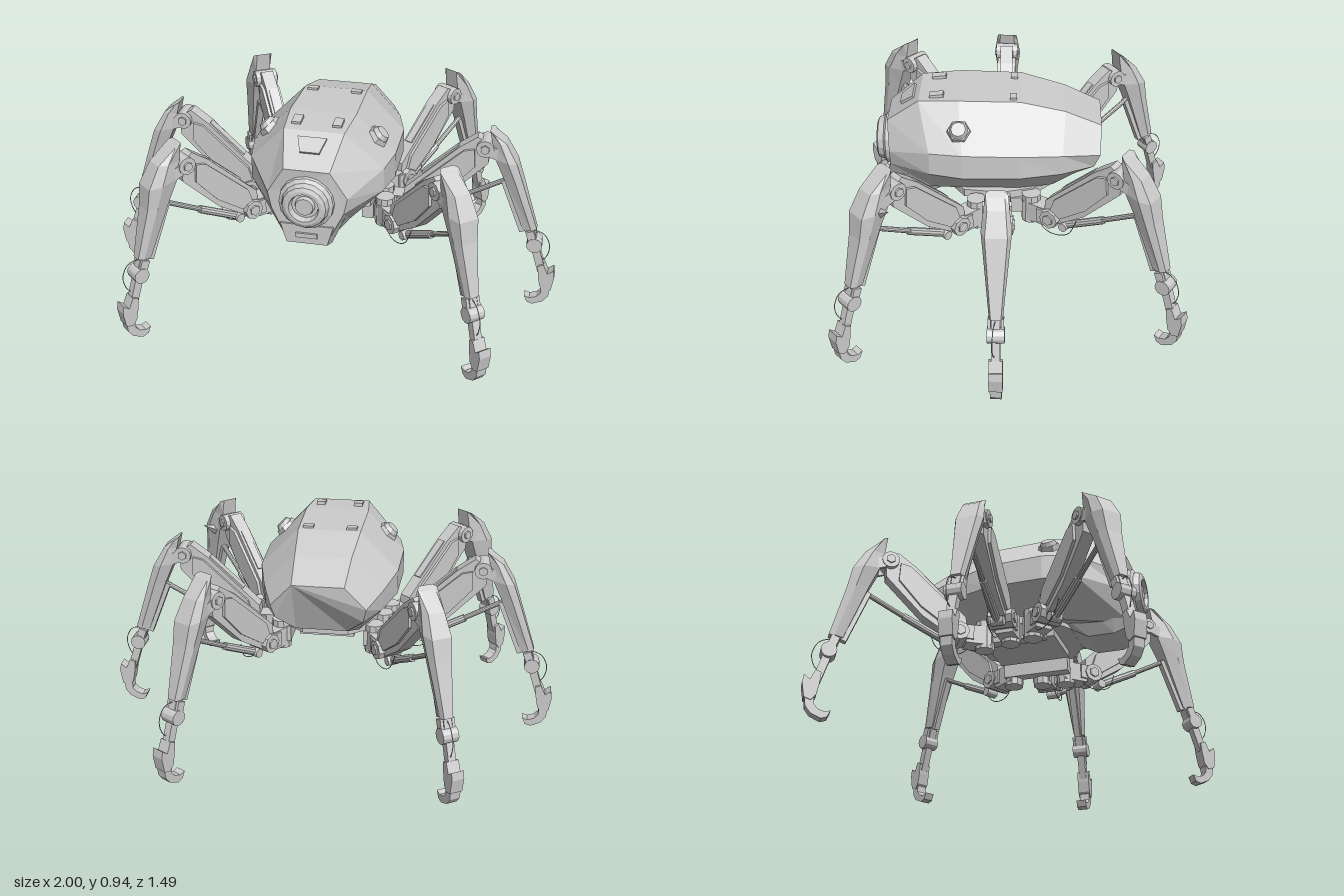
import * as THREE from 'three';

const armour = new THREE.MeshStandardMaterial({ color: 0xcccccc });
armour.name = 'greyArmour';

// Faceted mesh with one normal per face
function add(parent, name, geometry, x = 0, y = 0, z = 0) {
  const g = geometry.index ? geometry.toNonIndexed() : geometry;
  g.computeVertexNormals();
  const mesh = new THREE.Mesh(g, armour);
  mesh.name = name;
  mesh.position.set(x, y, z);
  parent.add(mesh);
  return mesh;
}

// Closed skin through rings of equal point count, wound to face outward
function loft(rings) {
  const n = rings[0].length;
  const pos = rings.flat(2);
  const idx = [];
  for (let i = 0; i < rings.length - 1; i++) {
    for (let j = 0; j < n; j++) {
      const a = i * n + j, b = i * n + (j + 1) % n;
      idx.push(a, b, b + n, a, b + n, a + n);
    }
  }
  const last = (rings.length - 1) * n;
  for (let j = 1; j < n - 1; j++) idx.push(0, j + 1, j, last, last + j, last + j + 1);
  const point = i => new THREE.Vector3().fromArray(pos, i * 3);
  let volume = 0;
  for (let i = 0; i < idx.length; i += 3) {
    volume += point(idx[i]).dot(point(idx[i + 1]).cross(point(idx[i + 2])));
  }
  if (volume < 0) idx.reverse();
  const g = new THREE.BufferGeometry();
  g.setAttribute('position', new THREE.Float32BufferAttribute(pos, 3));
  g.setIndex(idx);
  return g;
}

// Side profile extruded symmetrically about z = 0
function plate(points, width) {
  const shape = new THREE.Shape(points.map(p => new THREE.Vector2(...p)));
  return new THREE.ExtrudeGeometry(shape, { depth: width, bevelEnabled: false }).translate(0, 0, -width / 2);
}

// Box running between two points of the x-y plane
function beam(parent, name, [x1, y1], [x2, y2], thick, width, z = 0) {
  const m = add(parent, name, new THREE.BoxGeometry(Math.hypot(x2 - x1, y2 - y1), thick, width),
    (x1 + x2) / 2, (y1 + y2) / 2, z);
  m.rotation.z = Math.atan2(y2 - y1, x2 - x1);
}

// Round rod between two points of the x-y plane
function rod(parent, name, [x1, y1], [x2, y2], radius) {
  const m = add(parent, name, new THREE.CylinderGeometry(radius, radius, Math.hypot(x2 - x1, y2 - y1), 10),
    (x1 + x2) / 2, (y1 + y2) / 2, 0);
  m.rotation.z = Math.atan2(y2 - y1, x2 - x1) - Math.PI / 2;
}

// Pivot pin with its axis across the leg
function pivot(parent, name, x, y, radius, width, sides = 12) {
  add(parent, name, new THREE.CylinderGeometry(radius, radius, width, sides).rotateX(Math.PI / 2), x, y, 0);
}

function cable(parent, name, points) {
  const curve = new THREE.CatmullRomCurve3(points.map(p => new THREE.Vector3(...p)));
  add(parent, name, new THREE.TubeGeometry(curve, 14, 0.002, 5));
}

// Leg in its own frame: x points outward, y up, the hip pivot at x = 0.
// bulge pushes the shin's outer face outward, peak is the height of its top
function makeLeg(name, bulge, peak) {
  const leg = new THREE.Group();
  leg.name = name;

  // Hip bracket and pivots
  add(leg, 'hipBlock', new THREE.BoxGeometry(0.11, 0.085, 0.08), -0.085, 0.445, 0);
  add(leg, 'hipTurret', new THREE.CylinderGeometry(0.042, 0.042, 0.13, 10), -0.12, 0.452, 0);
  for (const s of [-1, 1]) add(leg, 'hipFork', new THREE.BoxGeometry(0.075, 0.065, 0.014), -0.025, 0.45, s * 0.042);
  pivot(leg, 'hipPivot', 0, 0.45, 0.043, 0.11, 8);
  pivot(leg, 'hipPin', 0, 0.45, 0.024, 0.125, 6);

  // Upper leg: core with two side panels
  add(leg, 'upperLeg', plate([[-0.035, 0.45], [0.03, 0.425], [0.16, 0.51], [0.325, 0.68],
    [0.33, 0.77], [0.275, 0.8], [0.2, 0.745], [-0.03, 0.525]], 0.058));
  for (const s of [-1, 1]) {
    const panel = plate([[0.0, 0.49], [0.05, 0.465], [0.17, 0.55], [0.27, 0.665], [0.265, 0.745], [0.22, 0.735], [0.02, 0.55]], 0.014);
    add(leg, 'upperLegPanel', panel, 0, 0, s * 0.035);
  }
  beam(leg, 'upperLegRidge', [0.05, 0.595], [0.2, 0.735], 0.025, 0.035);
  rod(leg, 'pistonSleeve', [0.055, 0.415], [0.24, 0.51], 0.017);
  rod(leg, 'pistonRod', [0.22, 0.5], [0.405, 0.6], 0.011);
  pivot(leg, 'pistonPin', 0.055, 0.415, 0.02, 0.055);

  // Knee
  pivot(leg, 'kneePivot', 0.31, 0.755, 0.038, 0.1);
  pivot(leg, 'kneePin', 0.31, 0.755, 0.02, 0.116, 6);
  for (const s of [-1, 1]) beam(leg, 'kneeFork', [0.3, 0.755], [0.4, 0.72], 0.05, 0.014, s * 0.038);

  // Lower leg: inner x, outer x, inner y, outer y, half width
  const shin = [[0.325, 0.35, peak, peak - 0.015, 0.044], [0.337, 0.42 + bulge, 0.785, 0.785, 0.05],
    [0.355, 0.472 + bulge, 0.71, 0.695, 0.061], [0.395, 0.492 + bulge / 2, 0.62, 0.6, 0.051], [0.492, 0.552, 0.37, 0.38, 0.028]];
  add(leg, 'lowerLeg', loft(shin.map(([xi, xo, yi, yo, w]) => {
    const xm = xi * 0.4 + xo * 0.6, ym = (yi + yo) / 2;
    return [[xi, yi, w * 0.7], [xm, ym, w], [xo, yo, w * 0.72], [xo, yo, -w * 0.72], [xm, ym, -w], [xi, yi, -w * 0.7]];
  })));
  beam(leg, 'lowerLegRail', [0.395, 0.6], [0.49, 0.36], 0.025, 0.03);

  // Ankle
  beam(leg, 'ankleNeck', [0.515, 0.39], [0.545, 0.3], 0.04, 0.035);
  for (const s of [-1, 1]) beam(leg, 'ankleFork', [0.522, 0.37], [0.548, 0.295], 0.036, 0.012, s * 0.026);
  pivot(leg, 'anklePivot', 0.547, 0.305, 0.034, 0.07);
  cable(leg, 'ankleCable', [[0.53, 0.37, 0], [0.585, 0.355, 0.01], [0.613, 0.3, 0.012], [0.6, 0.24, 0.01], [0.575, 0.215, 0]]);
  cable(leg, 'hipCable', [[-0.06, 0.42, 0.03], [-0.03, 0.385, 0.035], [0.03, 0.375, 0.035], [0.09, 0.4, 0.03], [0.12, 0.47, 0.02]]);

  // Foot and claw
  beam(leg, 'footLink', [0.547, 0.3], [0.588, 0.17], 0.035, 0.035);
  add(leg, 'foot', plate([[0.57, 0.2], [0.595, 0.21], [0.615, 0.165], [0.64, 0.185], [0.646, 0.15],
    [0.635, 0.085], [0.605, 0.075], [0.585, 0.1], [0.575, 0.15]], 0.056));
  add(leg, 'claw', plate([[0.592, 0.1], [0.632, 0.1], [0.627, 0.05], [0.605, 0.02], [0.56, 0],
    [0.535, 0.008], [0.522, 0.038], [0.545, 0.03], [0.575, 0.04], [0.592, 0.06]], 0.046));
  return leg;
}

export function createModel() {
  const model = new THREE.Group();
  model.name = 'sixLeggedRobot';

  // Faceted hull: half rings from roof to belly, mirrored in x
  const half = [
    [[0.095, 0.805, 0.53], [0.165, 0.69, 0.52], [0.15, 0.62, 0.52], [0.085, 0.49, 0.53]],
    [[0.125, 0.915, 0.39], [0.28, 0.75, 0.34], [0.28, 0.65, 0.34], [0.14, 0.5, 0.34]],
    [[0.14, 0.925, 0.22], [0.305, 0.755, 0.2], [0.305, 0.645, 0.2], [0.17, 0.515, 0.2]],
    [[0.135, 0.92, -0.04], [0.3, 0.75, -0.04], [0.3, 0.645, -0.04], [0.17, 0.515, -0.04]],
    [[0.12, 0.87, -0.23], [0.255, 0.73, -0.22], [0.25, 0.64, -0.22], [0.15, 0.525, -0.18]],
    [[0.11, 0.8, -0.385], [0.2, 0.705, -0.38], [0.185, 0.64, -0.355], [0.11, 0.56, -0.28]],
  ];
  add(model, 'hull', loft(half.map(r => [...r, ...[...r].reverse().map(([x, y, z]) => [-x, y, z])])));

  // Chin under the eye
  const chin = [[0.535, 0.085, 0.11, 0.475, 0.56], [0.46, 0.09, 0.14, 0.447, 0.56],
    [0.345, 0.09, 0.15, 0.447, 0.56], [0.22, 0.1, 0.15, 0.52, 0.56]];
  add(model, 'chin', loft(chin.map(([z, xb, xt, yb, yt]) => [[xt, yt, z], [xb, yb, z], [-xb, yb, z], [-xt, yt, z]])));
  add(model, 'chinSlot', new THREE.BoxGeometry(0.09, 0.02, 0.012), 0, 0.515, 0.538);

  // Eye: stepped housing with a recessed lens
  const steps = [[0.118, -0.02], [0.113, 0.02], [0.098, 0.03], [0.09, 0.055], [0.075, 0.062], [0.062, 0.062], [0.055, 0.035], [0, 0.035]];
  const housing = new THREE.LatheGeometry(steps.map(p => new THREE.Vector2(...p)), 16);
  add(model, 'eyeHousing', housing.rotateX(Math.PI / 2), 0, 0.665, 0.523);
  add(model, 'eyeLens', new THREE.CylinderGeometry(0.036, 0.042, 0.02, 16).rotateX(Math.PI / 2), 0, 0.665, 0.565);

  // Tapered brow vent lying on the sloping nose
  const vent = plate([[-0.06, 0.035], [-0.04, -0.035], [0.04, -0.035], [0.06, 0.035]], 0.02);
  add(model, 'browVent', vent, 0, 0.875, 0.443).rotation.x = -0.93;

  // Roof lugs and hexagonal side caps
  for (const s of [-1, 1]) {
    add(model, 'frontRoofLug', new THREE.BoxGeometry(0.038, 0.024, 0.06), s * 0.085, 0.92, 0.315).rotation.x = 0.12;
    add(model, 'rearRoofLug', new THREE.BoxGeometry(0.045, 0.024, 0.03), s * 0.095, 0.918, -0.01);
    const cap = new THREE.Group();
    cap.name = 'sideCap';
    add(cap, 'capFlange', new THREE.CylinderGeometry(0.046, 0.056, 0.035, 6), 0, 0.01, 0);
    add(cap, 'capDome', new THREE.CylinderGeometry(0.03, 0.04, 0.02, 12), 0, 0.035, 0);
    cap.position.set(s * 0.222, 0.823, 0.215);
    cap.rotation.z = -s * 0.78;
    model.add(cap);
  }

  // Undercarriage carrying the hips
  const deck = new THREE.Shape([[0.1, 0.27], [0.2, 0.2], [0.22, 0.04], [0.18, -0.1], [0.1, -0.17],
    [-0.1, -0.17], [-0.18, -0.1], [-0.22, 0.04], [-0.2, 0.2], [-0.1, 0.27]].map(p => new THREE.Vector2(...p)));
  add(model, 'undercarriageDeck', new THREE.ExtrudeGeometry(deck, { depth: 0.035, bevelEnabled: false }).rotateX(Math.PI / 2), 0, 0.525, 0);
  add(model, 'undercarriageCore', new THREE.BoxGeometry(0.24, 0.05, 0.32), 0, 0.485, 0.04);
  // Side rails linking the hips
  for (const s of [-1, 1]) add(model, 'hipRail', new THREE.BoxGeometry(0.05, 0.07, 0.3), s * 0.185, 0.455, 0.03);

  // Legs: hip x, hip z, angle toward the front, shin bulge, shin peak
  const legs = [['front', 0.335, 0.235, 0.84, 0.015, 0.86], ['middle', 0.355, 0.04, 0, -0.025, 0.835],
    ['rear', 0.27, -0.19, -1.007, 0, 0.868]];
  for (const [name, x, z, angle, bulge, peak] of legs) {
    for (const s of [1, -1]) {
      const leg = makeLeg(name + (s > 0 ? 'LeftLeg' : 'RightLeg'), bulge, peak);
      leg.position.set(s * x, 0, z);
      leg.rotation.y = s > 0 ? -angle : angle - Math.PI;
      model.add(leg);
      // Single fin on one knee
      if (name === 'front' && s > 0) {
        add(leg, 'kneeFin', new THREE.ConeGeometry(0.025, 0.08, 4), 0.4, 0.71, -0.07).rotation.x = -1.1;
      }
    }
  }
  return model;
}
